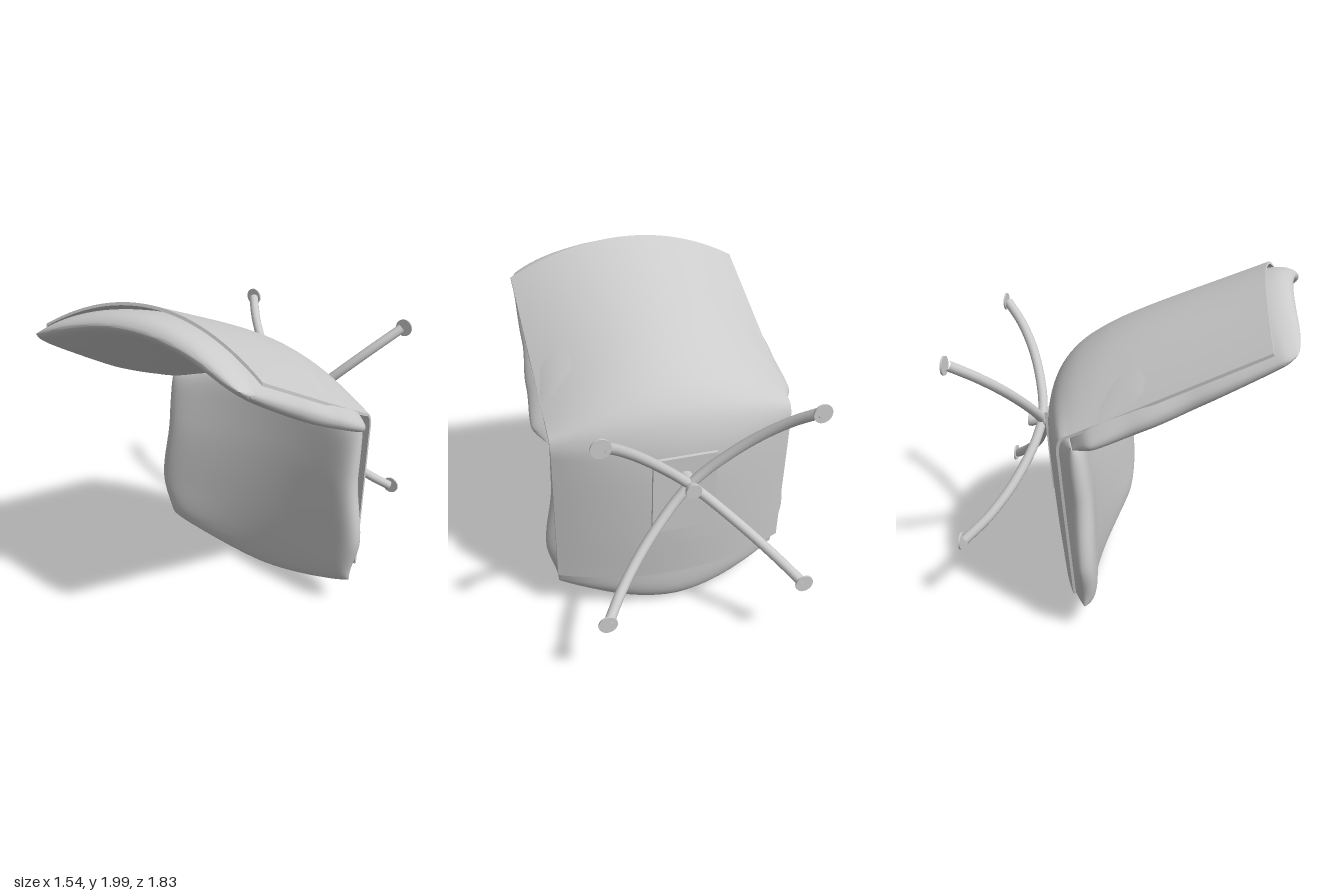
import * as THREE from 'three';
import { toCreasedNormals } from 'three/addons/utils/BufferGeometryUtils.js';

const material = new THREE.MeshStandardMaterial({ color: 0xcccccc });
const doubleMaterial = new THREE.MeshStandardMaterial({ color: 0xcccccc, side: THREE.DoubleSide });

function part(name, geometry, mat = material) {
  const mesh = new THREE.Mesh(geometry, mat);
  mesh.name = name;
  return mesh;
}

// Smooth curve in the side plane from [y, z] pairs
const sideCurve = (pts) =>
  new THREE.CatmullRomCurve3(pts.map(([y, z]) => new THREE.Vector3(0, y, z)), false, 'centripetal');

// Smooth interpolation through [position, value] pairs
function interpolate(table, s) {
  for (let i = 1; i < table.length; i++) {
    const [s0, a] = table[i - 1];
    const [s1, b] = table[i];
    if (s <= s1) return THREE.MathUtils.lerp(a, b, THREE.MathUtils.smoothstep(s, s0, s1));
  }
  return table[table.length - 1][1];
}

// Two grids (side 0 faces forward, side 1 backward) joined by a rim
function slab(nu, nv, point, crease) {
  const position = [];
  const index = [];
  const id = (i, j, side) => side * (nu + 1) * (nv + 1) + j * (nu + 1) + i;
  const quad = (a, b, c, d) => index.push(a, b, c, a, c, d);
  for (let side = 0; side < 2; side++)
    for (let j = 0; j <= nv; j++)
      for (let i = 0; i <= nu; i++) position.push(...point((2 * i) / nu - 1, j / nv, side));
  for (let j = 0; j < nv; j++) {
    for (let i = 0; i < nu; i++) {
      quad(id(i, j, 0), id(i + 1, j, 0), id(i + 1, j + 1, 0), id(i, j + 1, 0));
      quad(id(i, j, 1), id(i, j + 1, 1), id(i + 1, j + 1, 1), id(i + 1, j, 1));
    }
    quad(id(0, j, 1), id(0, j, 0), id(0, j + 1, 0), id(0, j + 1, 1));
    quad(id(nu, j, 0), id(nu, j, 1), id(nu, j + 1, 1), id(nu, j + 1, 0));
  }
  for (let i = 0; i < nu; i++) {
    quad(id(i, 0, 1), id(i + 1, 0, 1), id(i + 1, 0, 0), id(i, 0, 0));
    quad(id(i, nv, 0), id(i + 1, nv, 0), id(i + 1, nv, 1), id(i, nv, 1));
  }
  const geometry = new THREE.BufferGeometry();
  geometry.setAttribute('position', new THREE.Float32BufferAttribute(position, 3));
  geometry.setIndex(index);
  return toCreasedNormals(geometry, crease);
}

// Bent outer shell, bowed across its width
function shellGeometry() {
  const centre = sideCurve([[0.28, -0.4], [0.6, -0.44], [1.08, -0.475], [1.25, -0.465], [1.38, -0.425],
    [1.49, -0.34], [1.6, -0.19], [1.71, 0.02], [2, 0.71]]);
  const edge = sideCurve([[0.28, -0.23], [0.6, -0.255], [1.08, -0.29], [1.2, -0.295], [1.25, -0.275],
    [1.28, -0.22], [1.32, -0.14], [1.42, 0.06], [1.79, 0.78]]);
  const thickness = 0.016;
  return slab(28, 50, (u, v, side) => {
    const c = centre.getPoint(v);
    const p = c.clone().lerp(edge.getPoint(v), u * u);
    const t = centre.getTangent(v);
    const inset = side === 0 ? thickness : 0;
    return [0.705 * u, p.y - t.z * inset, p.z + t.y * inset];
  }, 0.7);
}

// Upholstered pad along a side path: hollow in front, bowed with the shell behind
function padGeometry({ path, widths, bow, front, back, start, end }) {
  const length = path.getLength();
  return slab(40, 60, (a, b, side) => {
    // Rows and columns gather near the seam
    const u = Math.sin((a * Math.PI) / 2);
    const v = (1 - Math.cos(b * Math.PI)) / 2;
    const s = THREE.MathUtils.lerp(start(Math.abs(u)), length - end(Math.abs(u)), v);
    const p = path.getPointAt(s / length);
    const t = path.getTangentAt(s / length);
    const puff = side === 0
      ? -interpolate(front, s) * (0.45 + 0.55 * u * u)
      : interpolate(back, s) * (1 - 0.63 * u * u);
    const across = Math.sqrt(1 - Math.abs(u) ** 9);
    const along = Math.sqrt(1 - Math.abs(2 * v - 1) ** 8);
    const n = bow * (1 - u * u) + puff * across * along;
    return [u * interpolate(widths, s), p.y + t.z * n, p.z - t.y * n];
  }, 1.0);
}

const seatPad = {
  path: sideCurve([[0, -0.185], [0.12, -0.175], [0.4, -0.165], [0.8, -0.18], [1.1, -0.21], [1.32, -0.23]]),
  widths: [[0.1, 0.66], [0.2, 0.695], [0.48, 0.752], [0.9, 0.7], [1.32, 0.695]],
  bow: 0.065,
  front: [[0, 0.095], [0.6, 0.1], [1.3, 0.09]],
  back: [[0, 0.14], [0.9, 0.19]],
  start: (u) => 0.19 * u ** 1.8,
  end: (u) => 0.12 * u * u,
};

const backPad = {
  path: sideCurve([[1.18, -0.235], [1.48, 0.345], [1.79, 0.93]]),
  widths: [[0, 0.7], [0.16, 0.772], [0.42, 0.75], [0.75, 0.715], [1.2, 0.695], [1.32, 0.65]],
  bow: 0.145,
  front: [[0, 0.075], [0.6, 0.11], [1.3, 0.08]],
  back: [[0, 0.13], [0.4, 0.19], [0.8, 0.17], [1.3, 0.12]],
  start: (u) => 0.03 * u ** 8,
  end: (u) => 0.04 * u ** 8,
};

// Flared hub and four curved legs reaching backward
function createBase() {
  const base = new THREE.Group();
  base.name = 'base';
  const hubProfile = [[0, 0], [0.042, 0], [0.042, 0.07], [0.03, 0.08], [0.03, 0.11], [0.045, 0.145],
    [0.045, 0.165], [0, 0.165]].map(([r, h]) => new THREE.Vector2(r, h));
  const hub = part('hub', toCreasedNormals(new THREE.LatheGeometry(hubProfile, 24), 0.6));
  hub.rotation.x = -Math.PI / 2;
  hub.position.z = -0.475;
  base.add(hub);

  for (const sx of [-1, 1]) {
    for (const sy of [-1, 1]) {
      const curve = new THREE.CatmullRomCurve3(
        [[0, -0.56], [0.11, -0.585], [0.3, -0.675], [0.45, -0.79], [0.555, -0.906]]
          .map(([r, z]) => new THREE.Vector3(sx * r, sy * r * 0.98, z)));
      base.add(part('leg', new THREE.TubeGeometry(curve, 24, 0.029, 12)));
      const foot = part('foot', new THREE.CylinderGeometry(0.052, 0.052, 0.01, 24));
      foot.rotation.x = Math.PI / 2;
      foot.position.set(sx * 0.563, sy * 0.546, -0.921);
      base.add(foot);
    }
  }
  base.position.y = 1.015;
  return base;
}

export function createModel() {
  const model = new THREE.Group();
  model.name = 'chair';
  model.add(part('shell', shellGeometry(), doubleMaterial));
  model.add(part('seatPad', padGeometry(seatPad), doubleMaterial));
  model.add(part('backPad', padGeometry(backPad), doubleMaterial));

  // Mounting plate between shell and hub
  const plate = part('mountingPlate', new THREE.BoxGeometry(0.37, 0.5, 0.02));
  plate.position.set(0, 0.9, -0.47);
  plate.rotation.x = -0.06;
  model.add(plate);

  model.add(createBase());
  return model;
}
